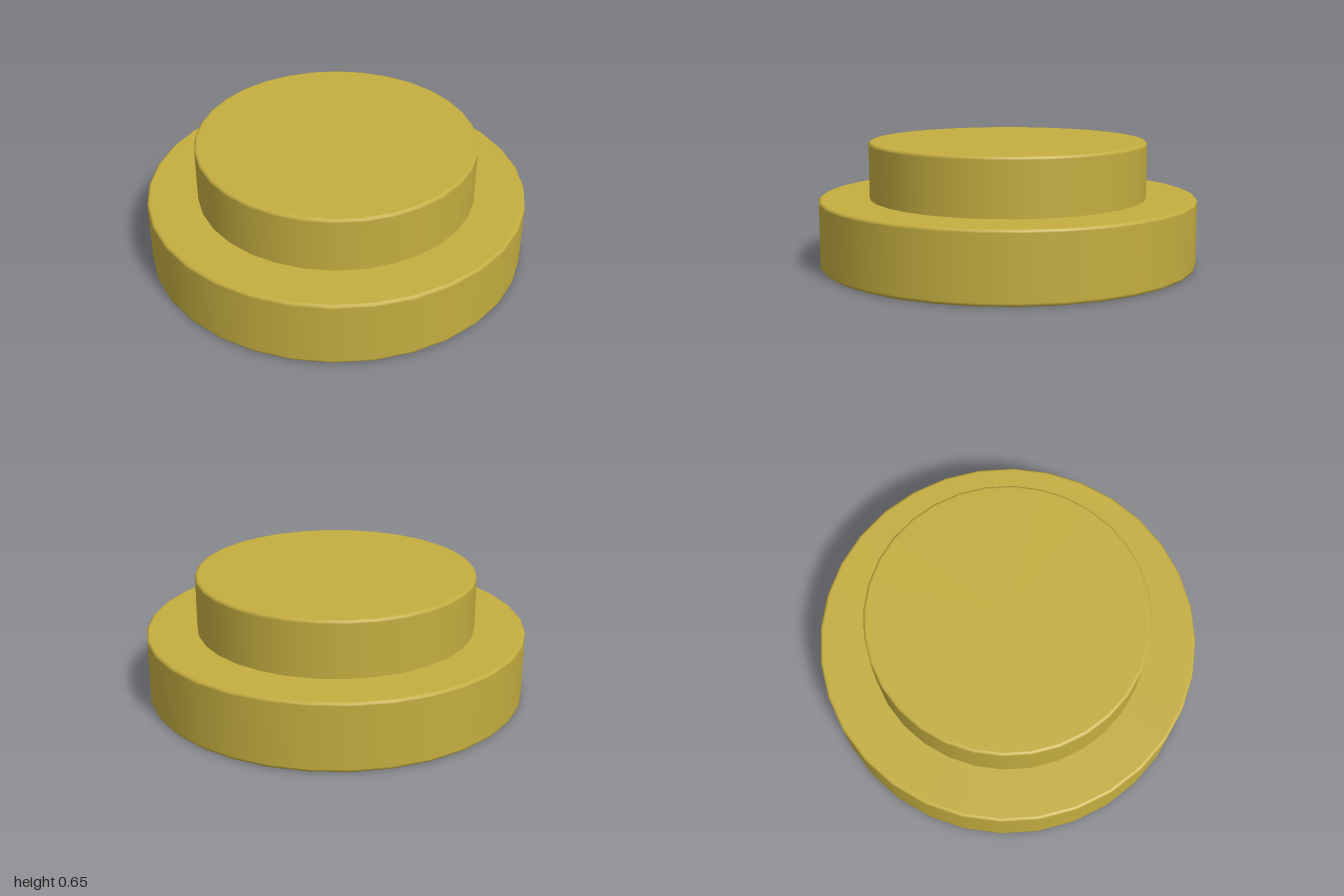
import * as THREE from 'three';

const SIDES = 32;
const BEVEL = 0.008;

// Closed disc with tiny softened rims; the extra loops keep caps and walls flat.
function softDisc(name, radius, y0, y1, material) {
  const b = BEVEL, s = BEVEL * 2;
  const profile = [
    [0, y0], [radius - s, y0], [radius - b, y0],
    [radius, y0 + b], [radius, y0 + s],
    [radius, y1 - s], [radius, y1 - b],
    [radius - b, y1], [radius - s, y1], [0, y1],
  ].map(([x, y]) => new THREE.Vector2(x, y));
  const mesh = new THREE.Mesh(new THREE.LatheGeometry(profile, SIDES), material);
  mesh.name = name;
  return mesh;
}

export function createModel() {
  const group = new THREE.Group();
  group.name = 'steppedDisc';
  const material = new THREE.MeshStandardMaterial({ color: 0xc4ad40 });

  // Wide lower disc
  group.add(softDisc('base', 1, 0, 0.355, material));
  // Narrower raised disc, sunk slightly into the base so the joint stays crisp
  group.add(softDisc('upperDisc', 0.735, 0.33, 0.65, material));

  return group;
}
